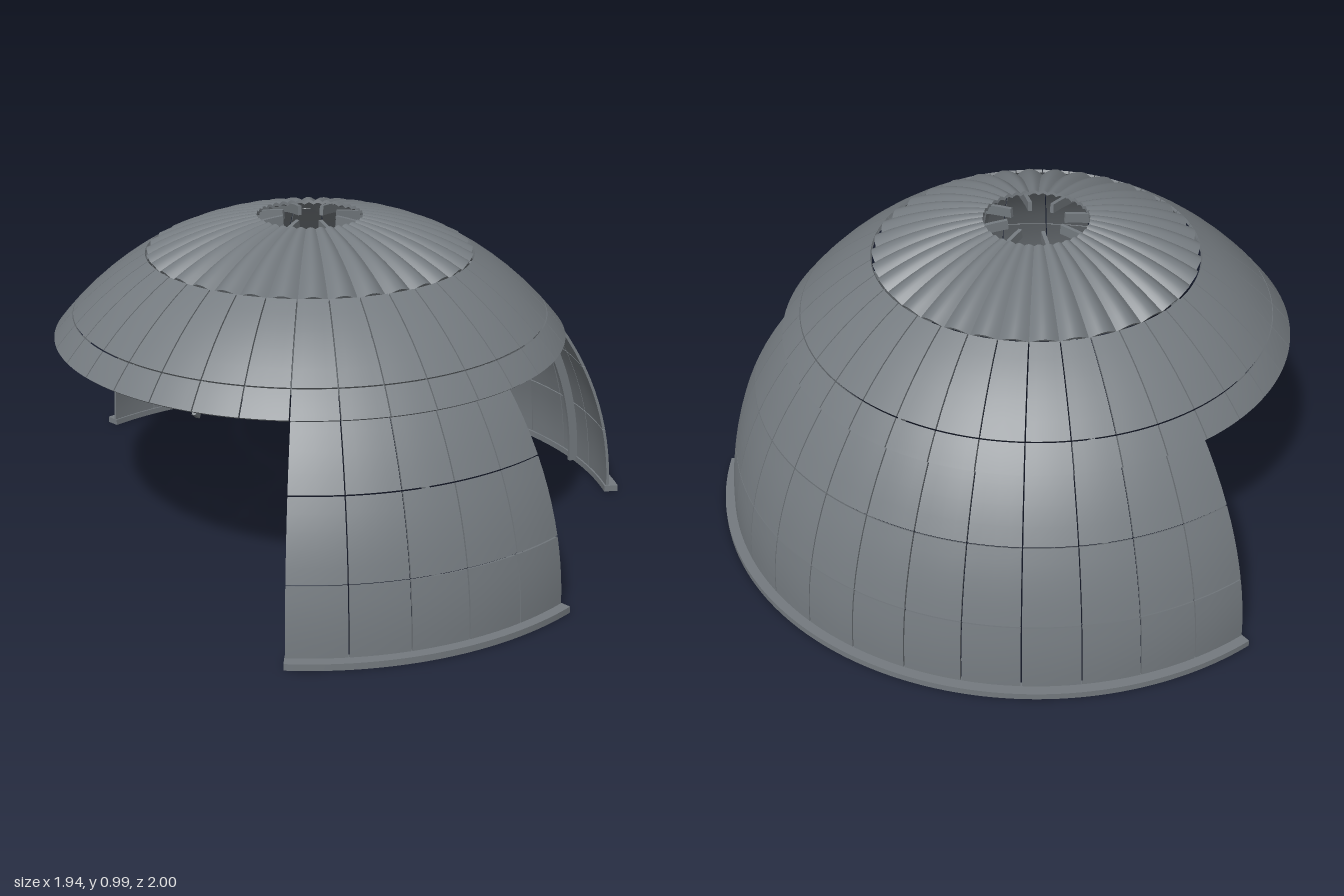
import * as THREE from 'three';
import { mergeGeometries } from 'three/addons/utils/BufferGeometryUtils.js';

const RAD = Math.PI / 180;
const mix = THREE.MathUtils.lerp;

// Box whose corners are bent by rule(u, v, w): u sideways, v upward, w outward, each 0..1
function bentBox(nu, nv, rule) {
  const g = new THREE.BoxGeometry(1, 1, 1, nu, nv, 1);
  const p = g.attributes.position;
  for (let i = 0; i < p.count; i++) {
    const [x, y, z] = rule(p.getX(i) + 0.5, p.getY(i) + 0.5, p.getZ(i) + 0.5);
    p.setXYZ(i, x, y, z);
  }
  g.computeVertexNormals();
  return g;
}

// Point on the dome: azimuth from +z toward +x, latitude from the ground, both in degrees
function onDome(az, lat, r) {
  const c = r * Math.cos(lat * RAD);
  return [c * Math.sin(az * RAD), r * Math.sin(lat * RAD), c * Math.cos(az * RAD)];
}

// Curved panel with a narrow gap all round
function panel(az, lat0, lat1, inner, outer) {
  const gap = 0.11;
  return bentBox(4, 5, (u, v, w) => {
    const lat = mix(lat0 + gap, lat1 - gap, v);
    const side = gap / Math.cos(lat * RAD);
    return onDome(mix(az + side, az + 10 - side, u), lat, mix(inner, outer, w));
  });
}

// Rows of ten-degree panels
function panelRows(from, to, lats, inner, outer) {
  const parts = [];
  for (let az = from; az < to; az += 10)
    for (let i = 0; i < lats.length - 1; i++)
      parts.push(panel(az, lats[i], lats[i + 1], inner, outer));
  return mergeGeometries(parts);
}

export function createModel() {
  const model = new THREE.Group();
  const dome = new THREE.Group();
  dome.name = 'dome';
  dome.position.z = 0.03;
  model.add(dome);

  const grey = new THREE.MeshStandardMaterial({ color: 0x747a7f });
  grey.name = 'slateGrey';
  const add = (name, geometry) => {
    const mesh = new THREE.Mesh(geometry, grey);
    mesh.name = name;
    dome.add(mesh);
    return mesh;
  };

  // Lower walls with their foot rails, leaving two wide openings
  for (const [name, from, to] of [['back', 120, 250], ['front', 20, 70]]) {
    add(name + 'Wall', panelRows(from, to, [0.9, 13, 26.7, 43.4], 0.991, 1.0));
    add(name + 'FootRail', bentBox(to - from, 1, (u, v, w) => {
      const az = mix(from, to, u) * RAD, r = mix(0.985, 1.03, w);
      return [r * Math.sin(az), v * 0.02, r * Math.cos(az)];
    }));
  }

  // Overhanging ring of roof panels
  add('roofSkirt', panelRows(0, 360, [38.1, 43.4, 60], 1.0, 1.009));

  // Fluted crown around the open top
  const flutes = [];
  for (let az = 0; az < 360; az += 10) {
    flutes.push(bentBox(10, 8, (u, v, w) => {
      const lat = mix(60.2, 80.6, v);
      const bulge = 0.04 * Math.cos(lat * RAD) * Math.sin(Math.PI * u);
      return onDome(az + 10 * u, lat, mix(0.982, 0.992, w) + bulge);
    }));
  }
  add('flutedCrown', mergeGeometries(flutes));

  // Eight inner ribs: long ones reach the ground where there is a wall
  for (let i = 0; i < 8; i++) {
    const az = i * 45;
    const low = [45, 135, 180, 225].includes(az) ? 0.5 : 38;
    const rib = add('innerRib', bentBox(1, 32, (u, v, w) => {
      const [, y, z] = onDome(0, mix(low, 84.8, v), mix(0.96, 0.99, w));
      return [(u - 0.5) * 0.012, y, z];
    }));
    rib.rotation.y = az * RAD;
  }

  return model;
}
